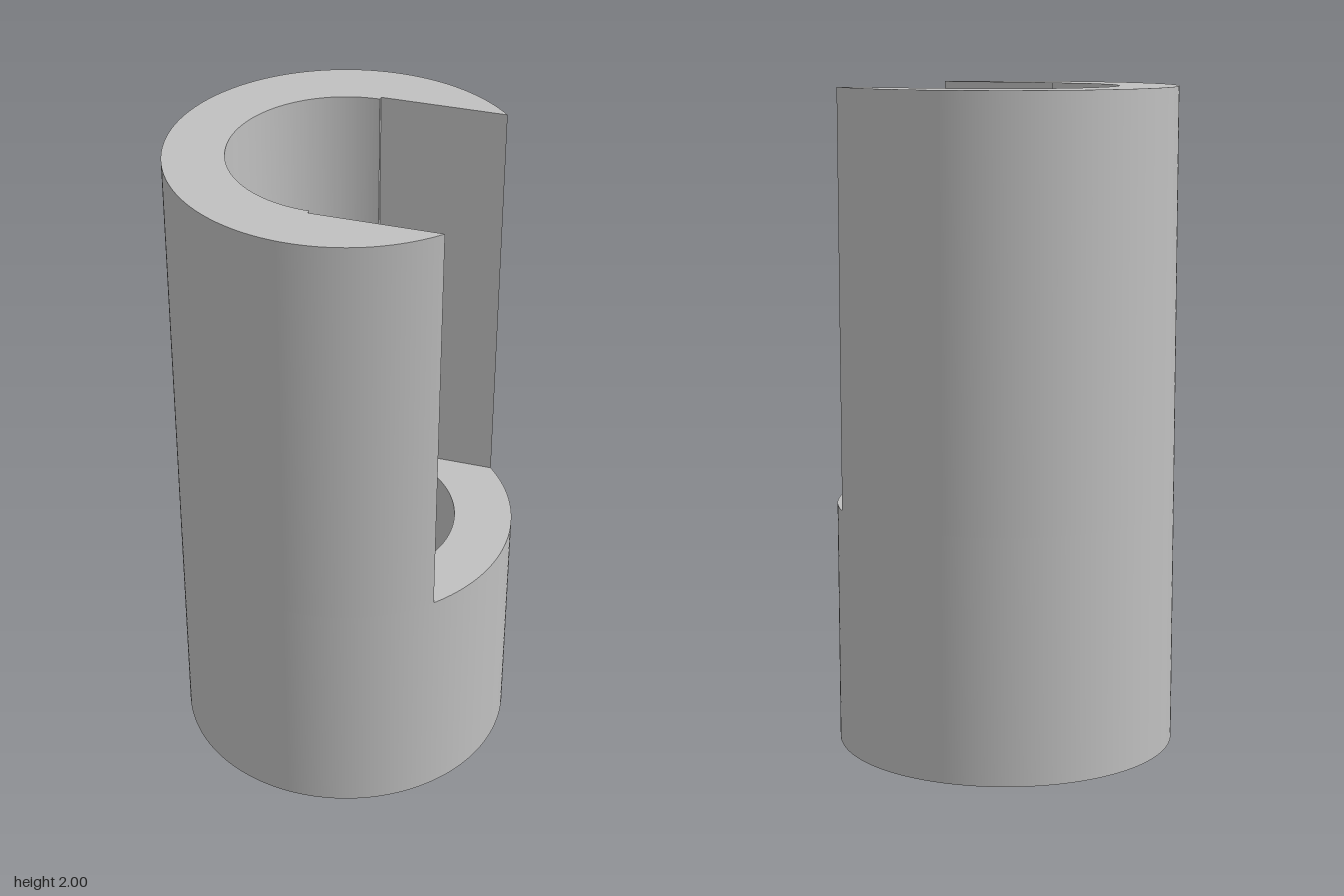
import * as THREE from 'three';
import { toCreasedNormals } from 'three/addons/utils/BufferGeometryUtils.js';

const OUTER = 0.515, INNER = 0.338, SLOT = 0.35, STEP = 0.74, HEIGHT = 2;

// Extrudes a plan outline upwards from one height to another
function extrudeUp(shape, y0, y1) {
  const geo = new THREE.ExtrudeGeometry(shape, { depth: y1 - y0, bevelEnabled: false, curveSegments: 96 });
  geo.rotateX(-Math.PI / 2);
  geo.translate(0, y0, 0);
  return toCreasedNormals(geo, 0.4);
}

export function createModel() {
  const group = new THREE.Group();
  group.name = 'slottedSleeve';
  const steel = new THREE.MeshStandardMaterial({ color: 0xc0c0c0 });
  steel.name = 'grey steel';

  // Full ring at the bottom
  const ring = new THREE.Shape();
  ring.absarc(0, 0, OUTER, 0, Math.PI * 2, false);
  const bore = new THREE.Path();
  bore.absarc(0, 0, INNER, 0, Math.PI * 2, true);
  ring.holes.push(bore);
  const lower = new THREE.Mesh(extrudeUp(ring, 0, STEP), steel);
  lower.name = 'lowerRing';

  // Upper wall, open on +x by a slot slightly wider than the bore
  const a = Math.asin(SLOT / OUTER);
  const wall = new THREE.Shape();
  wall.absarc(0, 0, OUTER, a, Math.PI * 2 - a, false);
  wall.lineTo(0, -SLOT);
  wall.lineTo(0, -INNER);
  wall.absarc(0, 0, INNER, Math.PI * 1.5, Math.PI / 2, true);
  wall.lineTo(0, SLOT);
  wall.closePath();
  const upper = new THREE.Mesh(extrudeUp(wall, STEP, HEIGHT), steel);
  upper.name = 'slottedWall';

  group.add(lower, upper);
  return group;
}
